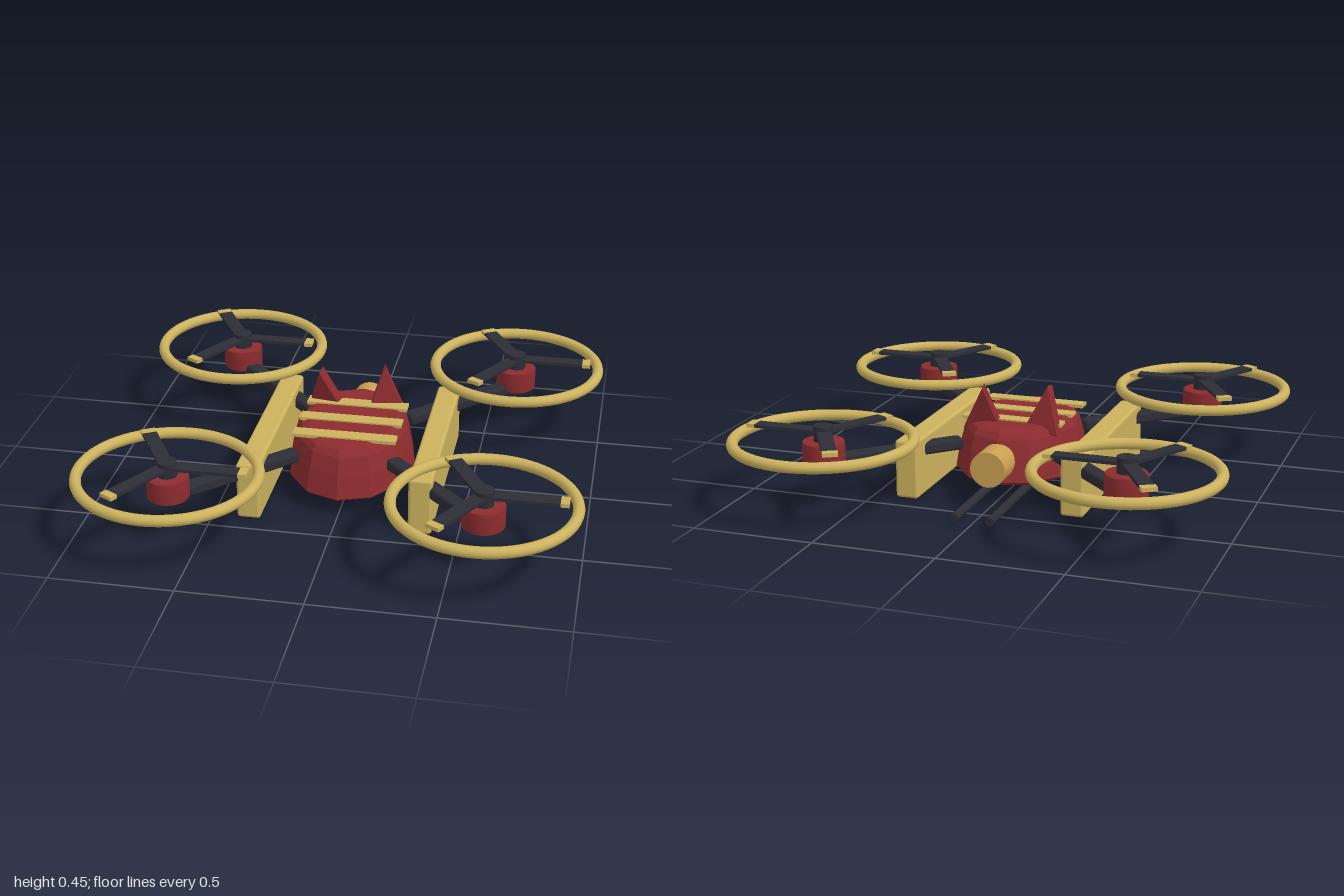
import * as THREE from 'three';
import { RoundedBoxGeometry } from 'three/addons/geometries/RoundedBoxGeometry.js';

const mat = (name, color) => {
  const m = new THREE.MeshStandardMaterial({ color });
  m.name = name;
  return m;
};

export function createModel() {
  const model = new THREE.Group();
  model.name = 'drone';
  const red = mat('dark red', 0x8c2c2f);
  red.flatShading = true;
  const motorRed = mat('motor red', 0x8c2c2f);
  const gold = mat('gold', 0xccb25e);
  const brass = mat('brass', 0xc9a050);
  const dark = mat('charcoal', 0x2c2d36);

  const add = (parent, name, geo, material, x = 0, y = 0, z = 0) => {
    const m = new THREE.Mesh(geo, material);
    m.name = name;
    m.position.set(x, y, z);
    parent.add(m);
    return m;
  };

  // twelve-sided tapering shell, stretched front to back
  const profile = [[0, 0.072], [0.95, 0.072], [1, 0.086], [0.94, 0.18], [0.87, 0.25], [0.81, 0.275], [0.7, 0.287], [0, 0.287]]
    .map(([r, y]) => new THREE.Vector2(r, y));
  const body = new THREE.LatheGeometry(profile, 12);
  body.scale(0.265, 1, 0.357);
  add(model, 'body', body, red);

  // gold bands across the back
  for (const z of [-0.12, 0.03, 0.18]) {
    add(model, 'bodyStripe', new THREE.BoxGeometry(0.425, 0.014, 0.06), gold, 0, 0.286, z);
  }

  // triangular ears, one leaning forward and one leaning back
  const tri = new THREE.Shape();
  tri.moveTo(-0.075, 0);
  tri.lineTo(0.075, 0);
  tri.lineTo(0, 0.186);
  tri.closePath();
  const ear = new THREE.ExtrudeGeometry(tri, {
    depth: 0.036, bevelEnabled: true, bevelThickness: 0.006, bevelSize: 0.005, bevelSegments: 1,
  });
  ear.translate(0, 0, -0.018);
  for (const s of [-1, 1]) {
    const e = add(model, 'ear', ear, red, s < 0 ? -0.137 : 0.118, 0.255, -0.15);
    e.rotation.set(-s * 0.25, s * 0.15, 0.05, 'YXZ');
  }

  // rear canister and the twin rods below it
  const canister = new THREE.CylinderGeometry(0.073, 0.073, 0.16, 24);
  canister.rotateX(Math.PI / 2);
  add(model, 'rearCanister', canister, brass, 0, 0.165, -0.355);
  const rod = new THREE.CylinderGeometry(0.018, 0.018, 0.495, 16);
  rod.rotateX(Math.PI / 2);

  for (const s of [-1, 1]) {
    add(model, 'rod', rod, dark, s * 0.073, 0.018, -0.37);
    // side panels
    add(model, 'sidePanel', new RoundedBoxGeometry(0.096, 0.242, 0.866, 3, 0.013), gold, s * 0.348, 0.129, 0);
  }

  // rotor parts
  const armGeo = new RoundedBoxGeometry(0.065, 0.05, 0.54, 3, 0.014);
  const motorGeo = new THREE.LatheGeometry(
    [[0, 0.187], [0.08, 0.187], [0.085, 0.192], [0.085, 0.275], [0.08, 0.281], [0, 0.281]]
      .map(([r, y]) => new THREE.Vector2(r, y)), 28);
  const ringGeo = new THREE.TorusGeometry(0.357, 0.023, 12, 64);
  ringGeo.rotateX(Math.PI / 2);
  const hubGeo = new THREE.CylinderGeometry(0.039, 0.039, 0.065, 20);
  const bladeGeo = new THREE.BoxGeometry(0.29, 0.013, 0.058);
  const tipGeo = new THREE.BoxGeometry(0.034, 0.016, 0.06);

  for (const sx of [-1, 1]) {
    for (const sz of [-1, 1]) {
      // diagonal arm
      const arm = add(model, 'arm', armGeo, dark, sx * 0.39, 0.193, sz * 0.39);
      arm.rotation.y = sx * sz * Math.PI / 4;

      const rotor = new THREE.Group();
      rotor.name = 'rotor';
      rotor.position.set(sx * 0.62, 0, sz * 0.62);
      model.add(rotor);
      add(rotor, 'motor', motorGeo, motorRed);
      add(rotor, 'guardRing', ringGeo, gold, 0, 0.282, 0);
      add(rotor, 'hub', hubGeo, dark, 0, 0.311, 0);
      // three blades with gold tips
      for (let i = 0; i < 3; i++) {
        const blade = new THREE.Group();
        blade.name = 'blade';
        blade.position.y = 0.32;
        blade.rotation.y = i * Math.PI * 2 / 3;
        rotor.add(blade);
        add(blade, 'bladeArm', bladeGeo, dark, 0.145, 0, 0);
        add(blade, 'bladeTip', tipGeo, gold, 0.305, 0, 0);
      }
    }
  }
  return model;
}
